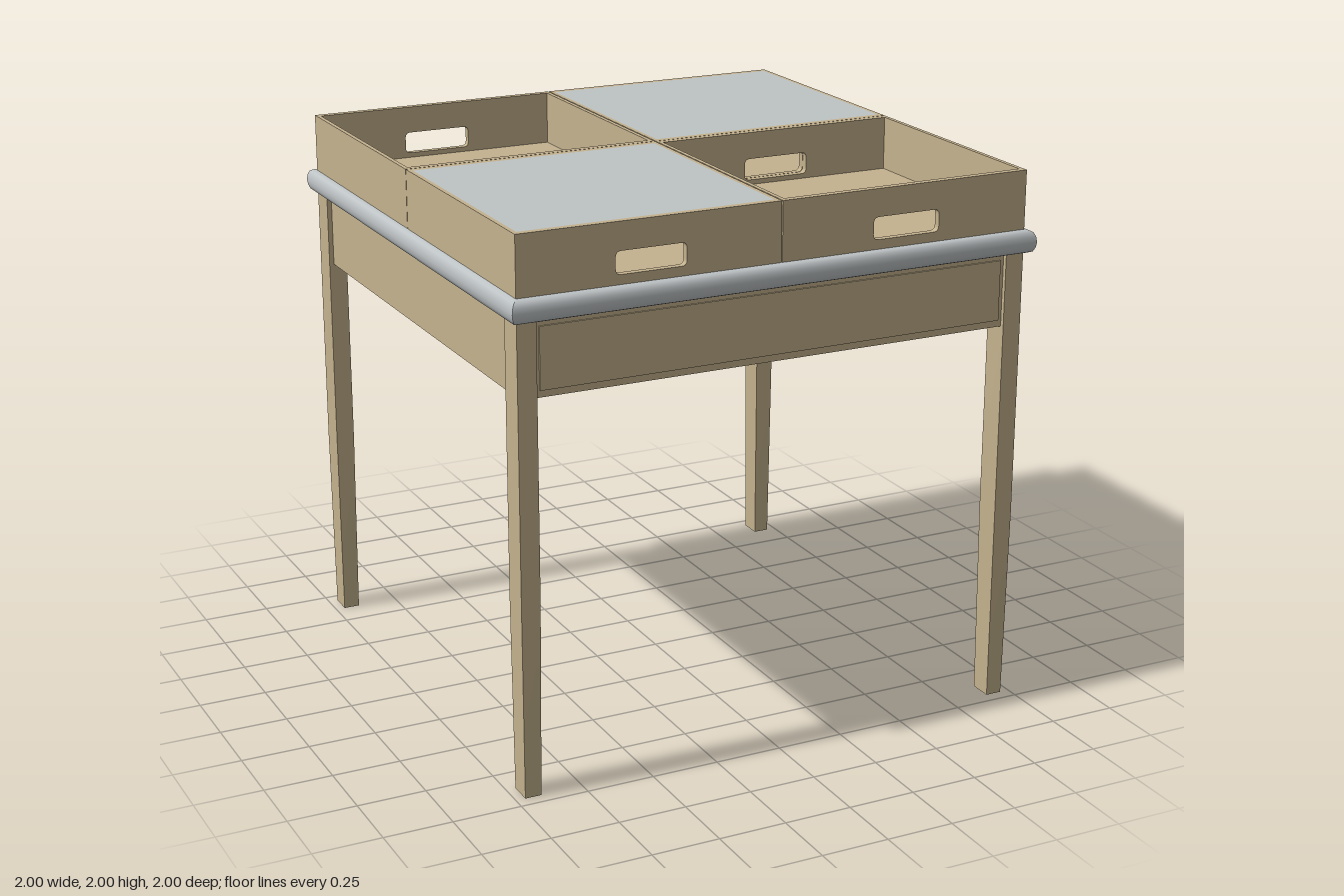
import * as THREE from 'three';
import { toCreasedNormals } from 'three/addons/utils/BufferGeometryUtils.js';

const wood = new THREE.MeshStandardMaterial({ color: 0xc4b28e });
wood.name = 'wood';
const metal = new THREE.MeshStandardMaterial({ color: 0xbec3c5 });
metal.name = 'grey metal';

function add(parent, name, geometry, material, x = 0, y = 0, z = 0) {
  const mesh = new THREE.Mesh(geometry, material);
  mesh.name = name;
  mesh.position.set(x, y, z);
  parent.add(mesh);
  return mesh;
}

const box = (w, h, d) => new THREE.BoxGeometry(w, h, d);

function roundedRect(path, x0, y0, x1, y1, r) {
  path.moveTo(x0 + r, y0);
  path.lineTo(x1 - r, y0);
  path.quadraticCurveTo(x1, y0, x1, y0 + r);
  path.lineTo(x1, y1 - r);
  path.quadraticCurveTo(x1, y1, x1 - r, y1);
  path.lineTo(x0 + r, y1);
  path.quadraticCurveTo(x0, y1, x0, y1 - r);
  path.lineTo(x0, y0 + r);
  path.quadraticCurveTo(x0, y0, x0 + r, y0);
  return path;
}

// Straight to y = 0.72, then narrowing to the foot
function legGeometry() {
  const g = new THREE.BoxGeometry(0.07, 1.705, 0.1, 1, 2, 1).translate(0, 0.8525, 0);
  const p = g.attributes.position;
  for (let i = 0; i < p.count; i++) {
    const y = p.getY(i);
    if (y < 0.1) p.setXYZ(i, p.getX(i) * 0.86, 0, p.getZ(i) * 0.86);
    else if (y < 1) p.setY(i, 0.72);
  }
  return toCreasedNormals(g, 0.02);
}

// One side of the bulging edge rail, mitred at 45 degrees at both ends
function railGeometry() {
  const profile = [[0.95, 1.705], [0.978, 1.705], [0.99, 1.71], [0.997, 1.725], [1, 1.745],
    [0.997, 1.765], [0.99, 1.78], [0.978, 1.786], [0.95, 1.786]];
  const shape = new THREE.Shape(profile.map(([x, y]) => new THREE.Vector2(x, y)));
  const g = new THREE.ExtrudeGeometry(shape, { depth: 2, bevelEnabled: false, steps: 1 });
  g.translate(0, 0, -1);
  const p = g.attributes.position;
  for (let i = 0; i < p.count; i++) p.setZ(i, p.getZ(i) * p.getX(i));
  return toCreasedNormals(g, 0.75);
}

// Tray with a hand hole in its front and back walls, optionally closed by a grey lid
function makeTray(name, lidded) {
  const tray = new THREE.Group();
  tray.name = name;
  const w = 0.968, d = 0.959, base = 1.786, h = 2 - base, tz = 0.026, tx = 0.016;
  const shape = new THREE.Shape([[-w / 2, 0], [w / 2, 0], [w / 2, h], [-w / 2, h]]
    .map(([x, y]) => new THREE.Vector2(x, y)));
  shape.holes.push(roundedRect(new THREE.Path(), -0.13, 0.034, 0.13, 0.114, 0.02));
  const wall = new THREE.ExtrudeGeometry(shape, { depth: tz, bevelEnabled: false, curveSegments: 5 });
  add(tray, 'trayFrontWall', wall, wood, 0, base, d / 2 - tz);
  add(tray, 'trayBackWall', wall, wood, 0, base, -d / 2);
  for (const s of [-1, 1]) {
    add(tray, 'traySideWall', box(tx, h, d - 2 * tz), wood, s * (w - tx) / 2, base + h / 2, 0);
  }
  add(tray, 'trayFloor', box(w - 2 * tx, 0.015, d - 2 * tz), wood, 0, base + 0.0085, 0);
  if (lidded) add(tray, 'trayLid', box(w - 2 * tx, 0.015, d - 2 * tz), metal, 0, 1.9925, 0);
  return tray;
}

export function createModel() {
  const table = new THREE.Group();
  table.name = 'trayTable';

  // Legs
  const leg = legGeometry();
  for (const sx of [-1, 1]) {
    for (const sz of [-1, 1]) add(table, 'leg', leg, wood, sx * 0.935, 0, sz * 0.911);
  }

  // Aprons between the legs, with a raised panel front and back
  for (const s of [-1, 1]) {
    add(table, 'endApron', box(1.8, 0.27, 0.045), wood, 0, 1.57, s * 0.922);
    add(table, 'apronPanel', box(1.77, 0.22, 0.006), wood, 0, 1.57, s * 0.9475);
    add(table, 'sideApron', box(0.035, 0.27, 1.722), wood, s * 0.935, 1.57, 0);
  }

  // Table top and its edge rail
  add(table, 'tableTop', box(1.92, 0.08, 1.92), metal, 0, 1.7455, 0);
  const rail = railGeometry();
  for (let i = 0; i < 4; i++) add(table, 'edgeRail', rail, metal).rotation.y = i * Math.PI / 2;

  // Four trays in a chequered arrangement
  for (const sx of [-1, 1]) {
    for (const sz of [-1, 1]) {
      const lidded = sx !== sz;
      const tray = makeTray(lidded ? 'liddedTray' : 'openTray', lidded);
      tray.position.set(sx * 0.486, 0, sz * 0.481);
      table.add(tray);
    }
  }
  return table;
}
